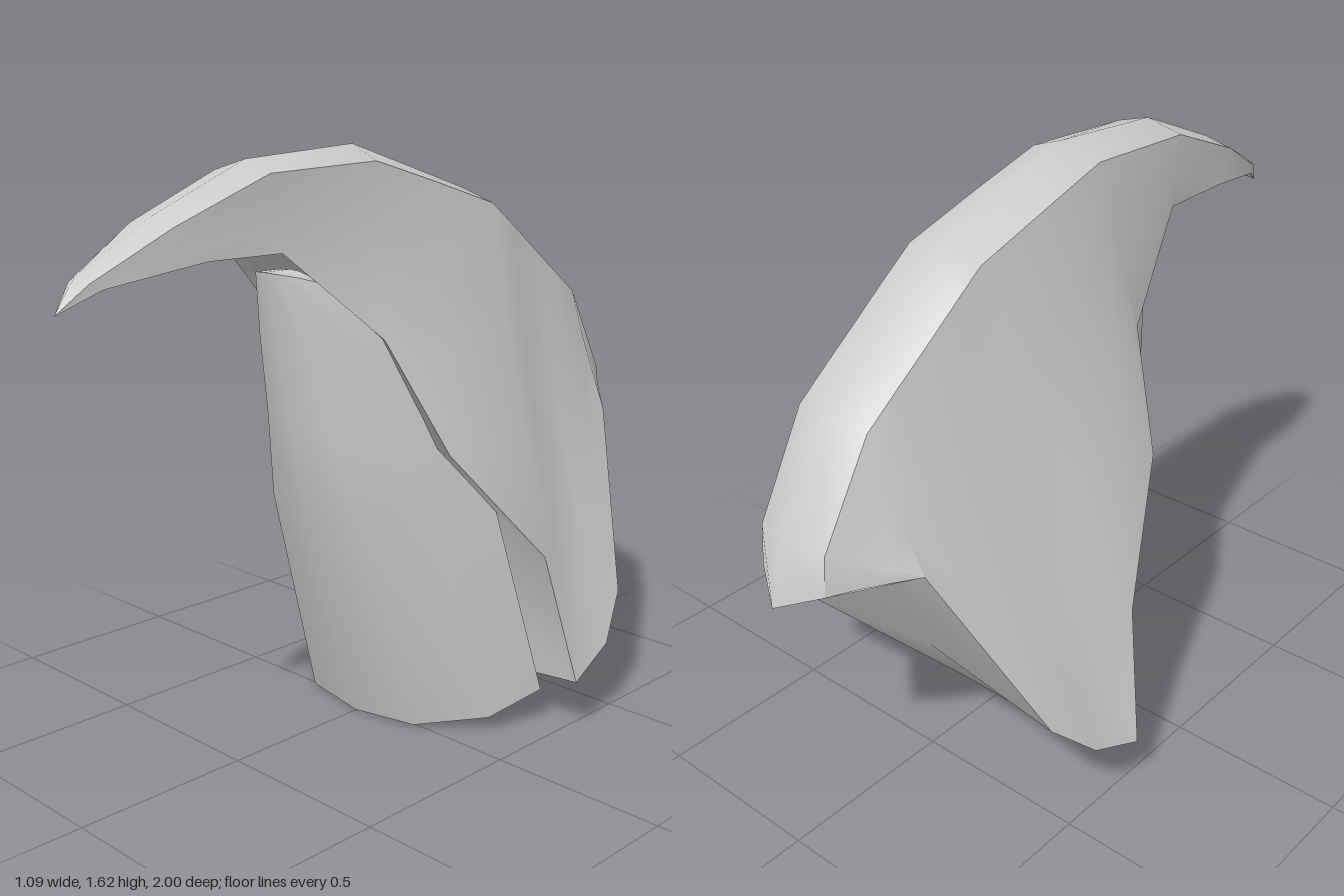
import * as THREE from 'three';

const material = new THREE.MeshStandardMaterial({ color: 0xcccccc, side: THREE.DoubleSide });
const mirror = ([x, y, z]) => [-x, y, z];

// Smooth skin across a list of equally long rows of points
function loft(name, rows) {
  const n = rows[0].length, index = [];
  for (let i = 0; i < rows.length - 1; i++) {
    for (let j = 0; j < n - 1; j++) {
      const a = i * n + j, b = a + 1, c = a + n, d = c + 1;
      index.push(a, b, c, b, d, c);
    }
  }
  const geometry = new THREE.BufferGeometry();
  geometry.setAttribute('position', new THREE.Float32BufferAttribute(rows.flat(2), 3));
  geometry.setIndex(index);
  geometry.computeVertexNormals();
  const mesh = new THREE.Mesh(geometry, material);
  mesh.name = name;
  return mesh;
}

// Hood stations from the beak tip to the tail:
// ridge [y, z], crest edge [x, y, z], rim [x, y, z], underside centre [y, z]
const notch = [0.26, 0.81, -0.75];
const stations = [
  [[1.265, 1], [0, 1.265, 1], [0, 1.265, 1], [1.265, 1]],
  [[1.35, 0.94], [0.04, 1.335, 0.93], [0.05, 1.32, 0.9], [1.32, 0.9]],
  [[1.47, 0.72], [0.085, 1.45, 0.72], [0.105, 1.365, 0.64], [1.37, 0.64]],
  [[1.59, 0.43], [0.105, 1.56, 0.44], [0.11, 1.365, 0.41], [1.365, 0.32]],
  [[1.615, 0.06], [0.11, 1.575, 0.08], [0.2, 1.125, 0.14], [1.125, 0.04]],
  [[1.55, -0.15], [0.115, 1.512, -0.14], [0.34, 0.825, 0.04], [0.825, -0.1]],
  [[1.475, -0.39], [0.118, 1.44, -0.38], [0.47, 0.515, -0.21], [0.515, -0.18]],
  [[1.398, -0.493], [0.118, 1.368, -0.478], [0.545, 0.153, -0.27], [0.115, -0.25]],
  [[1.32, -0.595], [0.117, 1.295, -0.575], [0.53, 0.22, -0.43], [0.17, -0.38]],
  [[1.243, -0.698], [0.116, 1.223, -0.673], [0.48, 0.335, -0.55], [0.335, -0.49]],
  [[1.165, -0.8], [0.115, 1.15, -0.77], notch, [0.78, -0.73]],
  [[0.9, -0.95], [0.11, 0.89, -0.92], notch, [0.78, -0.73]],
  [[0.738, -1], [0.11, 0.78, -0.93], notch, [0.738, -1]],
];

function createHood() {
  const hood = new THREE.Group();
  hood.name = 'hood';
  const crest = stations.map(([c, e]) => [mirror(e), [0, ...c], e]);
  // Side panels are slightly hollow between crest and rim
  const side = stations.map(([, e, r]) => [0, 0.33, 0.67, 1].map((t) => [
    e[0] + (r[0] - e[0]) * t ** 1.12, e[1] + (r[1] - e[1]) * t, e[2] + (r[2] - e[2]) * t,
  ]));
  const under = stations.map(([, , r, u]) => [r, [0, ...u], mirror(r)]);
  // The tail underside closes from the notch to the tail corners
  const [tail, corner] = stations[12];
  hood.add(
    loft('crest', crest),
    loft('leftSide', side),
    loft('rightSide', side.map((row) => row.map(mirror).reverse())),
    loft('beakUnderside', under.slice(0, 4)),
    loft('frontFace', under.slice(3, 8)),
    loft('backFace', under.slice(7, 11)),
    loft('tailUnderside', [under[11], [corner, [0, ...tail], mirror(corner)]]),
  );
  return hood;
}

// Breast plate levels: half width, edge y, edge z, centre y, centre z
const levels = [
  [0.43, 0.1, -0.26, 0, 0.05],
  [0.335, 0.71, -0.13, 0.65, 0.25],
  [0.25, 0.94, -0.02, 0.9, 0.295],
  [0.19, 1.14, 0.09, 1.12, 0.337],
  [0.09, 1.28, 0.28, 1.305, 0.375],
];
// Cross-section: sideways, forward and height fractions
const arc = [
  [-1, 0, 0], [-0.86, 0.5, 0.55], [-0.47, 0.91, 0.9], [0, 1, 1],
  [0.47, 0.91, 0.9], [0.86, 0.5, 0.55], [1, 0, 0],
];

function createBreastPlate() {
  const plate = new THREE.Group();
  plate.name = 'breastPlate';
  const skin = (inset) => levels.map(([w, ye, ze, yc, zc]) => arc.map(([s, f, h]) => [
    s * w * (1 - 1.6 * inset), ye + (yc - ye) * h, ze + (zc - ze) * f - inset * f,
  ]));
  const outer = skin(0), inner = skin(0.09);
  const last = levels.length - 1, end = arc.length - 1;
  plate.add(
    loft('plateOuter', outer),
    loft('plateInner', inner.map((row) => [...row].reverse())),
    loft('plateBottomRim', [inner[0], outer[0]]),
    loft('plateTopRim', [outer[last], inner[last]]),
    loft('plateLeftRim', outer.map((row, i) => [row[end], inner[i][end]])),
    loft('plateRightRim', outer.map((row, i) => [inner[i][0], row[0]])),
  );
  return plate;
}

export function createModel() {
  const model = new THREE.Group();
  model.name = 'beakedArmorHood';
  model.add(createHood(), createBreastPlate());
  return model;
}
